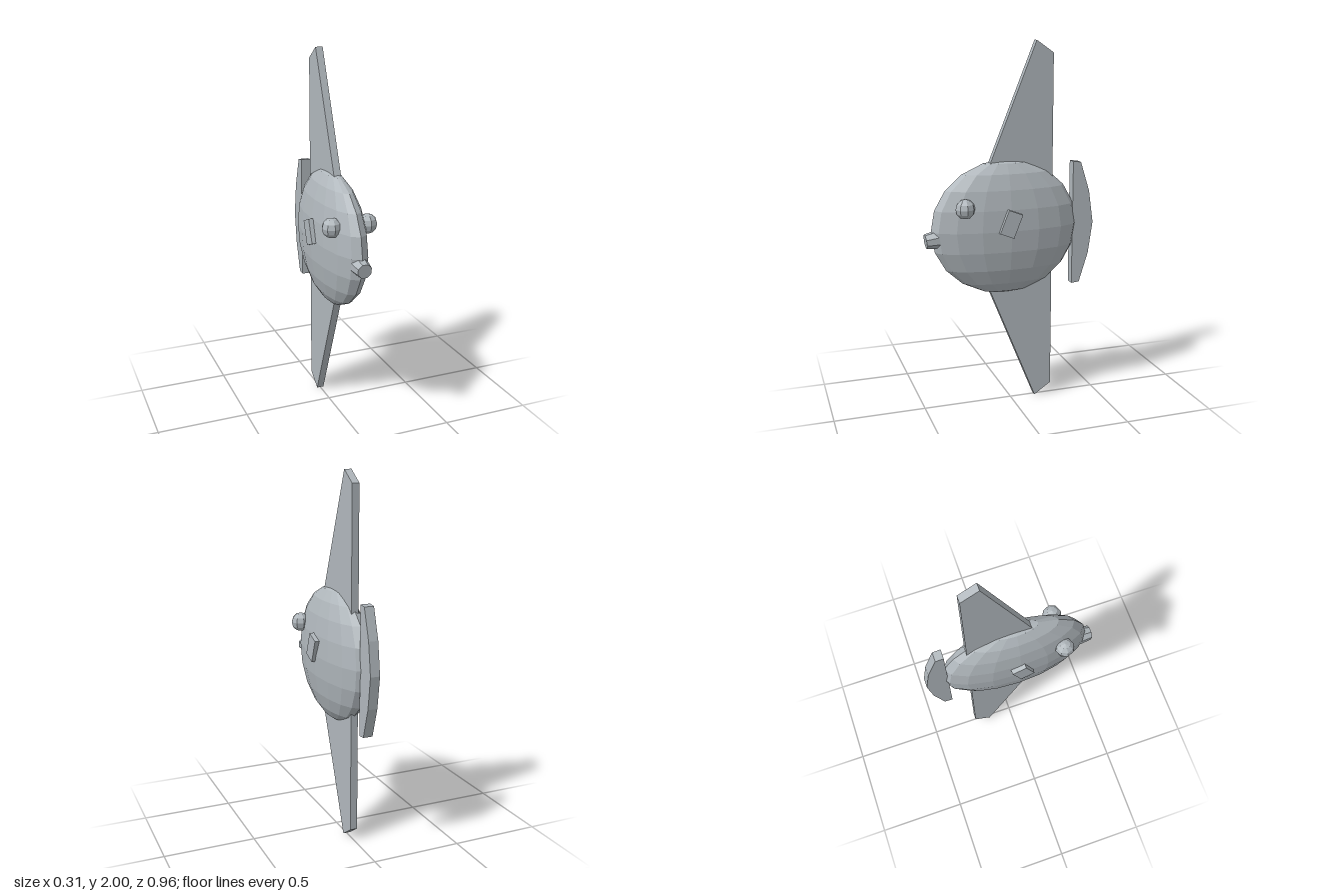
import * as THREE from 'three';

export function createModel() {
  const model = new THREE.Group();
  const grey = new THREE.MeshStandardMaterial({ color: 0xb0b7bc, flatShading: true });
  grey.name = 'grey';

  const add = (name, geometry, x = 0, y = 0, z = 0) => {
    const mesh = new THREE.Mesh(geometry, grey);
    mesh.name = name;
    mesh.position.set(x, y, z);
    model.add(mesh);
    return mesh;
  };

  // Plate of the given width, cut from a [z, y] outline and centred on x = 0
  const plate = (outline, width) => {
    const shape = new THREE.Shape(outline.map(([z, y]) => new THREE.Vector2(-z, y)));
    const geometry = new THREE.ExtrudeGeometry(shape, { depth: width, bevelEnabled: false });
    return geometry.translate(0, 0, -width / 2).rotateY(Math.PI / 2);
  };

  // Flat faceted body
  const body = new THREE.SphereGeometry(1, 16, 10);
  add('body', body.scale(0.12, 0.372, 0.415), 0, 1.005, 0.03);

  // Long swept fins, above and below
  const fin = [[0.155, 1.27], [-0.235, 1.2], [-0.235, 1.935], [-0.14, 2]];
  add('topFin', plate(fin, 0.04));
  add('bottomFin', plate(fin.map(([z, y]) => [z, 2 - y]), 0.04));

  // Tail fin with a curved rear edge
  const tail = [
    [-0.355, 1.35], [-0.4, 1.345], [-0.452, 1.18], [-0.477, 1.003],
    [-0.452, 0.826], [-0.4, 0.66], [-0.355, 0.655],
  ];
  add('tailFin', plate(tail, 0.053));

  // Mouth: short tapered tube, tipped slightly downwards
  const mouth = new THREE.CylinderGeometry(0.04, 0.05, 0.07, 8);
  mouth.rotateY(Math.PI / 8).rotateX(Math.PI / 2 + 0.12);
  add('mouth', mouth, 0, 0.96, 0.44);

  // Eyes and small side fins
  for (const [side, s] of [['left', 1], ['right', -1]]) {
    add(side + 'Eye', new THREE.SphereGeometry(0.053, 8, 6), s * 0.1, 1.14, 0.28);
    const sideFin = add(side + 'SideFin', new THREE.BoxGeometry(0.038, 0.135, 0.083), s * 0.119, 1.048, 0.037);
    sideFin.rotation.x = -0.38;
  }

  return model;
}
